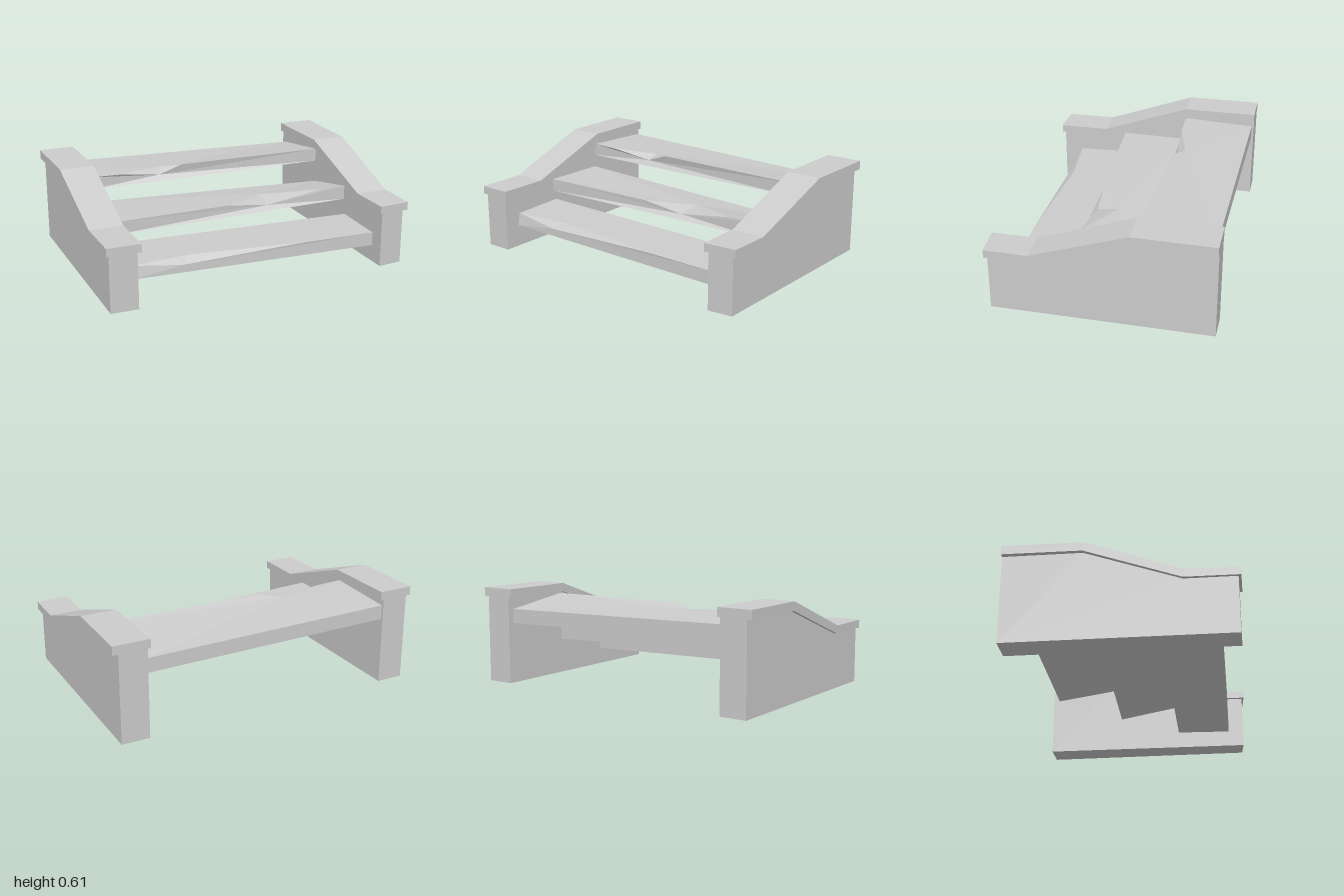
import * as THREE from 'three';

const grey = () => new THREE.MeshStandardMaterial({ color: 0xcccccc, flatShading: true });

function add(parent, geometry, name) {
  const mesh = new THREE.Mesh(geometry, grey());
  mesh.name = name;
  parent.add(mesh);
}

// Extrude a [z, y] profile from x0 to x1, then pull the outer front corner in a little
function prism(profile, x0, x1, narrow, cut) {
  const shape = new THREE.Shape(profile.map(([z, y]) => new THREE.Vector2(z, y)));
  let geo = new THREE.ExtrudeGeometry(shape, { depth: x1 - x0, bevelEnabled: false });
  geo.rotateY(-Math.PI / 2).translate(x1, 0, 0);
  const p = geo.attributes.position;
  const outer = Math.abs(x0) > Math.abs(x1) ? x0 : x1;
  for (let i = 0; i < p.count; i++) {
    if (Math.abs(p.getX(i) - outer) > 0.01) continue;
    const z = p.getZ(i);
    p.setX(i, outer - Math.sign(outer) * narrow * (z + 0.685) / 1.36);
    if (z > 0.6) p.setZ(i, z - cut);
  }
  geo.computeVertexNormals();
  return geo;
}

// Uneven stone tread with one chip broken out of its upper front edge
// Each corner is [x, y, z]: f/b front/back, t/b top/bottom, l/r low-x/high-x
function tread({ ftl, ftr, fbl, fbr, btl, btr, bbl, bbr, a, b, low, top }) {
  const faces = [
    [top, b, ftr], [top, ftr, btr], [top, btr, btl], [top, btl, ftl], [top, ftl, a], // top
    [low, fbl, fbr], [low, fbr, ftr], [low, ftr, b], [low, a, ftl], [low, ftl, fbl], // front
    [low, b, top], [low, top, a],                                                    // chip
    [bbr, bbl, btl], [bbr, btl, btr],                                                // back
    [fbl, bbl, bbr], [fbl, bbr, fbr],                                                // underside
    [fbl, ftl, btl], [fbl, btl, bbl],                                                // ends
    [fbr, bbr, btr], [fbr, btr, ftr],
  ];
  const geo = new THREE.BufferGeometry();
  geo.setAttribute('position', new THREE.Float32BufferAttribute(faces.flat(2), 3));
  geo.computeVertexNormals();
  return geo;
}

export function createModel() {
  const group = new THREE.Group();
  group.name = 'steps';

  // Side walls with overhanging coping; kink is where the slope begins
  const sides = [
    { name: 'rightSide', wall: [-0.97, -0.80], cap: [-1.0, -0.78], kink: 0.36, high: -0.21, narrow: 0.015, wallNarrow: 0.002, cut: 0.005 },
    { name: 'leftSide', wall: [0.79, 0.965], cap: [0.77, 1.0], kink: 0.40, high: -0.19, narrow: 0.03, wallNarrow: 0.02, cut: 0.012 },
  ];
  for (const s of sides) {
    const side = new THREE.Group();
    side.name = s.name;
    const { kink, high } = s;
    const wall = [[-0.685, 0], [0.665, 0], [0.665, 0.36], [kink, 0.36], [high, 0.56], [-0.685, 0.56]];
    const cap = [[-0.685, 0.55], [high - 0.005, 0.55], [kink - 0.01, 0.35], [0.68, 0.35],
      [0.68, 0.40], [kink, 0.40], [high, 0.605], [-0.685, 0.605]];
    add(side, prism(wall, ...s.wall, s.wallNarrow, s.cut), 'wall');
    add(side, prism(cap, ...s.cap, s.narrow, s.cut), 'coping');
    group.add(side);
  }

  // Three sagging treads, lowest first
  const L = -0.805, R = 0.795;
  add(group, tread({
    ftl: [L, 0.22, 0.545], ftr: [R, 0.19, 0.565], fbl: [L, 0.14, 0.56], fbr: [R, 0.105, 0.565],
    btl: [L, 0.23, 0.20], btr: [R, 0.20, 0.215], bbl: [L, 0.145, 0.20], bbr: [R, 0.11, 0.215],
    a: [-0.79, 0.22, 0.544], b: [0.3, 0.199, 0.565], low: [-0.49, 0.18, 0.56], top: [-0.43, 0.217, 0.51],
  }), 'lowerTread');
  add(group, tread({
    ftl: [L, 0.375, 0.225], ftr: [R, 0.39, 0.20], fbl: [L, 0.295, 0.225], fbr: [R, 0.30, 0.20],
    btl: [L, 0.37, -0.20], btr: [R, 0.31, -0.19], bbl: [L, 0.29, -0.20], bbr: [R, 0.225, -0.19],
    a: [-0.03, 0.365, 0.19], b: [0.62, 0.385, 0.19], low: [0.24, 0.325, 0.175], top: [0.26, 0.355, 0.04],
  }), 'middleTread');
  add(group, tread({
    ftl: [L, 0.53, -0.21], ftr: [R, 0.538, -0.195], fbl: [L, 0.45, -0.21], fbr: [R, 0.455, -0.195],
    btl: [L, 0.51, -0.67], btr: [R, 0.475, -0.645], bbl: [L, 0.42, -0.67], bbr: [R, 0.385, -0.645],
    a: [-0.62, 0.525, -0.21], b: [-0.19, 0.54, -0.215], low: [-0.34, 0.485, -0.23], top: [-0.31, 0.52, -0.285],
  }), 'upperTread');

  return group;
}
